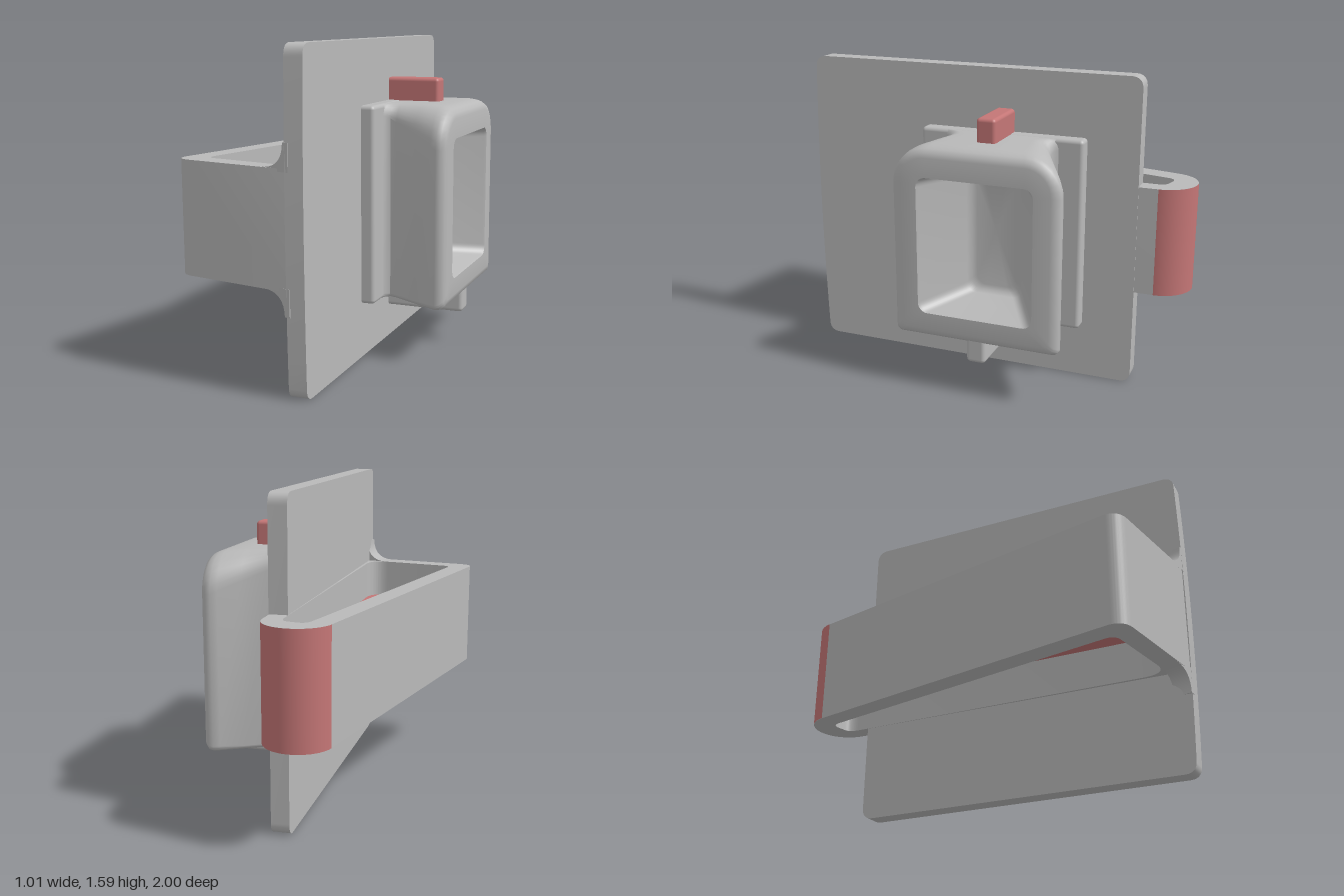
import * as THREE from 'three';
import { toCreasedNormals } from 'three/addons/utils/BufferGeometryUtils.js';
import { RoundedBoxGeometry } from 'three/addons/geometries/RoundedBoxGeometry.js';

const grey = new THREE.MeshStandardMaterial({ color: 0xb9b9b9 });
grey.name = 'grey';
const red = new THREE.MeshStandardMaterial({ color: 0xc47676 });
red.name = 'red';

const TILT = 0.232;            // turn of the plate about y
const MID = 0.775;             // mid height of the loop
const AXIS = -0.107;           // centre of the socket along the plate

function add(parent, name, geometry, material) {
  const mesh = new THREE.Mesh(geometry, material);
  mesh.name = name;
  parent.add(mesh);
  return mesh;
}

// Extrude an outline drawn in (x, z) down from the height top
function slab(shape, top, height) {
  const g = new THREE.ExtrudeGeometry(shape, { depth: height, bevelEnabled: false, curveSegments: 20 });
  g.rotateX(Math.PI / 2).translate(0, top, 0);
  return toCreasedNormals(g, 0.5);
}

// Rounded box given by its limits
function block(x0, x1, y0, y1, z0, z1, r) {
  return new RoundedBoxGeometry(x1 - x0, y1 - y0, z1 - z0, 3, r)
    .translate((x0 + x1) / 2, (y0 + y1) / 2, (z0 + z1) / 2);
}

function traceHole(path) {
  path.moveTo(-0.40, -0.82);
  path.quadraticCurveTo(-0.40, -0.87, -0.35, -0.87);
  path.lineTo(-0.31, -0.87);
  path.quadraticCurveTo(-0.275, -0.87, -0.262, -0.82);
  path.lineTo(0.095, 0.75);
  path.quadraticCurveTo(0.12, 0.87, 0.02, 0.88);
  path.lineTo(-0.32, 0.895);
  path.quadraticCurveTo(-0.37, 0.895, -0.371, 0.845);
  path.closePath();
  return path;
}

function loopShape() {
  const s = new THREE.Shape();
  s.moveTo(-0.474, 0.92);
  s.quadraticCurveTo(-0.472, 1.0, -0.39, 1.0);
  s.lineTo(0.16, 0.97);
  s.lineTo(0.24, 0.945);
  s.absarc(-0.342, -0.835, 0.162, -TILT, -Math.PI, true);
  s.closePath();
  s.holes.push(traceHole(new THREE.Path()));
  return s;
}

// Plate outline in (along, up), with a slightly bowed front edge
function plateGeometry() {
  const a = -0.80, b = 0.968, h = 1.59, r = 0.06;
  const s = new THREE.Shape();
  s.moveTo(a + r, 0);
  s.lineTo(b - r, 0);
  s.quadraticCurveTo(b, 0, b, r);
  s.quadraticCurveTo(b + 0.025, h / 2, b, h - r);
  s.quadraticCurveTo(b, h, b - r, h);
  s.lineTo(a + r, h);
  s.quadraticCurveTo(a, h, a, h - r);
  s.lineTo(a, r);
  s.quadraticCurveTo(a, 0, a + r, 0);
  const g = new THREE.ExtrudeGeometry(s, { depth: 0.09, bevelEnabled: false });
  return toCreasedNormals(g.rotateY(-Math.PI / 2), 0.5);
}

// Concave gusset between the loop's front wall and the plate
function filletGeometry(side) {
  const y = (v) => MID + side * v;
  const s = new THREE.Shape();
  s.moveTo(0.03, y(0.26));
  s.lineTo(0.18, y(0.26));
  s.lineTo(0.18, y(0.39));
  s.lineTo(0.152, y(0.39));
  s.quadraticCurveTo(0.15, y(0.275), 0.03, y(0.275));
  s.closePath();
  const g = new THREE.ExtrudeGeometry(s, { depth: 0.092, bevelEnabled: false });
  return toCreasedNormals(g.translate(0, 0, 0.88), 0.5);
}

// Rounded rectangle section of the socket at one distance from the plate
function ring([d, half, y0, y1, rBottom, rTop]) {
  const pts = [];
  const corners = [[1, y1, -1, rTop, 0], [-1, y1, -1, rTop, 1], [-1, y0, 1, rBottom, 2], [1, y0, 1, rBottom, 3]];
  for (const [su, y, sy, r, quarter] of corners) {
    for (let i = 0; i <= 8; i++) {
      const t = (quarter + i / 8) * Math.PI / 2;
      const u = su * (half - r) + r * Math.cos(t);
      pts.push([d, y + sy * r + r * Math.sin(t), AXIS - u]);
    }
  }
  return pts;
}

function loft(sections) {
  const rings = sections.map(ring), n = rings[0].length;
  const index = [];
  for (let i = 0; i < rings.length - 1; i++) {
    for (let j = 0; j < n; j++) {
      const k = (j + 1) % n, a = i * n, b = a + n;
      index.push(a + j, a + k, b + j, a + k, b + k, b + j);
    }
  }
  const g = new THREE.BufferGeometry();
  g.setAttribute('position', new THREE.Float32BufferAttribute(rings.flat(2), 3));
  g.setIndex(index);
  g.computeVertexNormals();
  return toCreasedNormals(g, 0.75);
}

export function createModel() {
  const model = new THREE.Group();
  model.name = 'bracketWithSocket';

  // Wedge-shaped loop with its floor and coloured tip
  add(model, 'loop', slab(loopShape(), MID + 0.275, 0.55), grey);
  add(model, 'loopFloor', slab(traceHole(new THREE.Shape()), 0.85, 0.15), red);
  const tip = new THREE.CylinderGeometry(0.1635, 0.1635, 0.55, 32, 1, true,
    Math.PI / 2 + TILT, Math.PI - TILT);
  add(model, 'loopTip', tip.translate(-0.342, MID, -0.835), red);
  for (const side of [1, -1]) add(model, side > 0 ? 'upperFillet' : 'lowerFillet', filletGeometry(side), grey);

  // Tilted plate and everything mounted on it
  const mount = new THREE.Group();
  mount.name = 'plateAssembly';
  mount.position.x = 0.025;
  mount.rotation.y = TILT;
  model.add(mount);
  add(mount, 'plate', plateGeometry(), grey);
  add(mount, 'flange', block(-0.02, 0.068, 0.28, 1.272, -0.537, 0.325, 0.02), grey);

  // Flared socket: outside, lip, then tapering recess and its floor
  add(mount, 'socket', loft([
    [0.06, 0.325, 0.283, 1.27, 0.02, 0.05],
    [0.072, 0.293, 0.283, 1.27, 0.02, 0.06],
    [0.095, 0.277, 0.282, 1.27, 0.02, 0.07],
    [0.13, 0.283, 0.28, 1.27, 0.02, 0.09],
    [0.25, 0.355, 0.28, 1.27, 0.025, 0.14],
    [0.35, 0.415, 0.28, 1.268, 0.03, 0.18],
    [0.38, 0.432, 0.28, 1.262, 0.03, 0.19],
    [0.405, 0.43, 0.285, 1.252, 0.03, 0.18],
    [0.425, 0.412, 0.30, 1.235, 0.03, 0.16],
    [0.431, 0.385, 0.325, 1.21, 0.03, 0.13],
    [0.431, 0.30, 0.41, 1.112, 0.05, 0.05],
    [0.42, 0.292, 0.415, 1.11, 0.05, 0.05],
    [0.15, 0.15, 0.44, 1.105, 0.05, 0.05],
    [0.128, 0.13, 0.455, 1.095, 0.05, 0.05],
    [0.12, 0.105, 0.48, 1.08, 0.05, 0.05],
    [0.12, 0.001, 0.774, 0.776, 0.0005, 0.0005],
  ]), grey);

  // Catch on top and rib underneath
  add(mount, 'topTab', block(-0.02, 0.27, 1.25, 1.388, AXIS - 0.05, AXIS + 0.05, 0.018), red);
  add(mount, 'bottomRib', block(-0.02, 0.41, 0.17, 0.33, AXIS - 0.05, AXIS + 0.05, 0.02), grey);

  return model;
}
